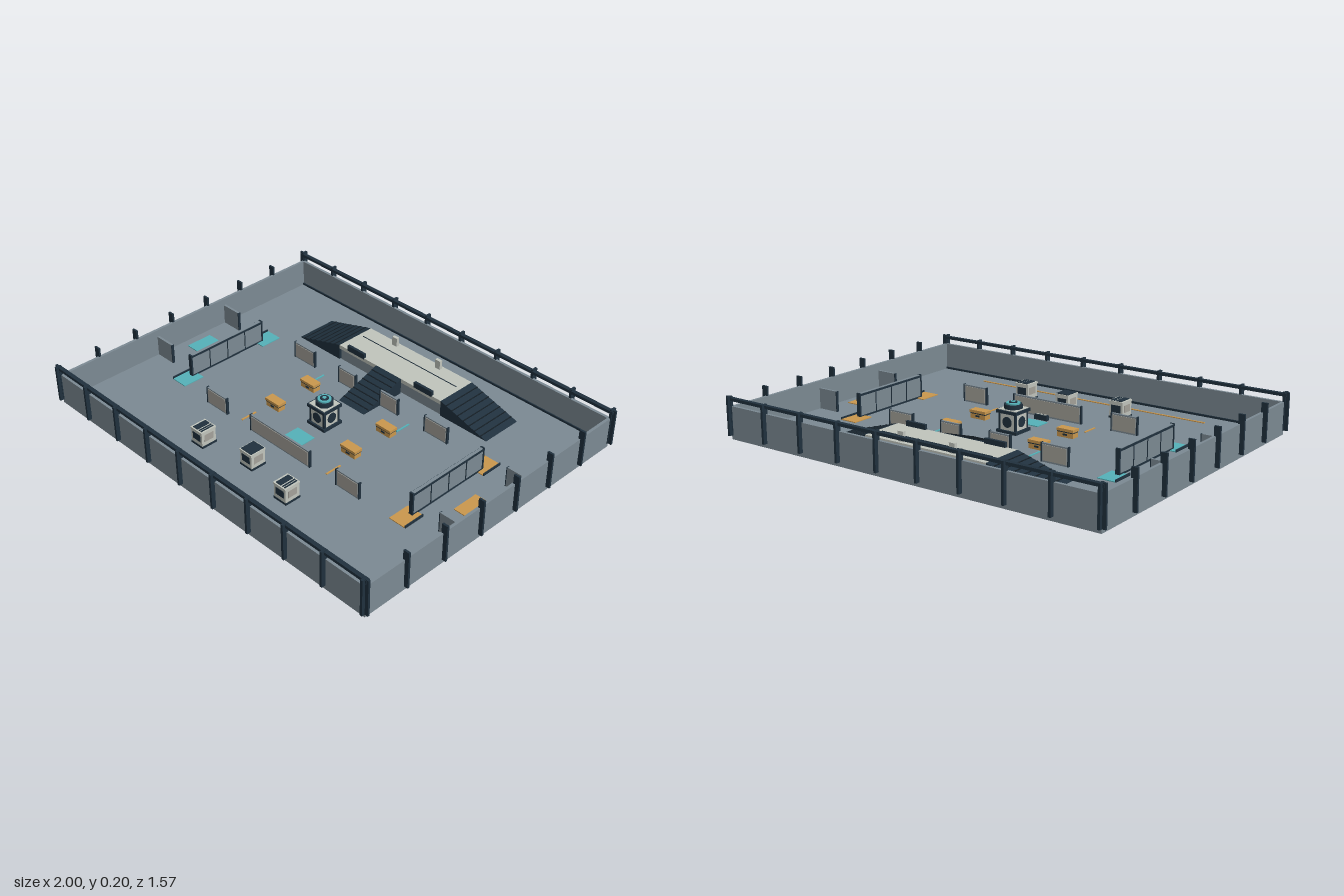
import * as THREE from 'three';

const mat = (name, color) => Object.assign(new THREE.MeshStandardMaterial({ color }), { name });

export function createModel() {
  const root = new THREE.Group();
  root.name = 'arena';
  const M = {
    slate: mat('slate', 0x7d8b94),
    dark: mat('darkNavy', 0x20313e),
    black: mat('nearBlack', 0x141d24),
    light: mat('paleConcrete', 0xc2c6be),
    beige: mat('warmGrey', 0xa5a39b),
    orange: mat('orange', 0xcc994e),
    teal: mat('teal', 0x55b3ba),
  };
  const FLOOR = 0.02, DECK = 0.1;

  // box resting on height y
  const box = (name, m, w, h, d, x, y, z, parent = root) => {
    const mesh = new THREE.Mesh(new THREE.BoxGeometry(w, h, d), M[m]);
    mesh.name = name;
    mesh.position.set(x, y + h / 2, z);
    parent.add(mesh);
    return mesh;
  };
  const pad = (name, m, w, d, x, z) => box(name, m, w, 0.004, d, x, FLOOR, z);
  const group = (name, x, z) => {
    const g = new THREE.Group();
    g.name = name;
    g.position.set(x, 0, z);
    root.add(g);
    return g;
  };

  // floor and perimeter walls
  box('floor', 'slate', 1.96, FLOOR, 1.53, 0, 0, 0);
  for (const s of [-1, 1]) {
    box('longWall', 'slate', 1.95, 0.135, 0.014, 0, FLOOR, s * 0.758);
    box('sideWall', 'slate', 0.014, 0.135, 1.53, s * 0.973, FLOOR, 0);
    box('topRail', 'dark', 1.98, 0.014, 0.02, 0, 0.181, s * 0.762);
    box('wallSkirting', 'dark', 1.94, 0.01, 0.006, 0, FLOOR, s * 0.748);
    for (let i = 0; i < 10; i++)
      box('longWallPost', 'dark', 0.012, 0.18, 0.03, -0.978 + i * 0.2173, FLOOR, s * 0.77);
    for (let i = 0; i < 8; i++)
      box('sideWallPost', 'dark', 0.03, 0.18, 0.01, s * 0.985, FLOOR, -0.765 + i * 0.2186);
  }

  // raised deck
  box('deckBody', 'slate', 0.64, DECK - FLOOR - 0.02, 0.2, 0, FLOOR, -0.4925);
  box('deck', 'light', 0.65, 0.02, 0.215, 0, DECK - 0.02, -0.4925);
  box('deckSeam', 'dark', 0.6, 0.002, 0.004, 0, DECK, -0.52);
  for (const s of [-1, 1]) {
    box('deckPost', 'light', 0.03, 0.045, 0.016, s * 0.138, DECK, -0.577);
    box('deckBarrier', 'dark', 0.11, 0.028, 0.014, s * 0.215, DECK - 0.005, -0.39);
  }

  // wedge ramps, high at local x = 0 and low at x = length
  const ramp = (name, length, width, x, z, turn) => {
    const h = DECK - FLOOR;
    const g = group(name, x, z);
    g.rotation.y = turn;
    const tri = new THREE.Shape([[0, 0], [length, 0], [0, h]].map(p => new THREE.Vector2(...p)));
    const wedge = new THREE.Mesh(
      new THREE.ExtrudeGeometry(tri, { depth: width, bevelEnabled: false }), M.dark);
    wedge.name = name + 'Wedge';
    wedge.position.set(0, FLOOR, -width / 2);
    g.add(wedge);
    for (let i = 1; i < 8; i++) {
      const t = i / 8;
      const tread = box(name + 'Tread', 'black', 0.005, 0.002, width, t * length, FLOOR + h * (1 - t), 0, g);
      tread.rotation.z = -Math.atan2(h, length);
    }
  };
  ramp('rightDeckRamp', 0.275, 0.215, 0.325, -0.4925, 0);
  ramp('leftDeckRamp', 0.275, 0.215, -0.325, -0.4925, Math.PI);
  ramp('frontDeckRamp', 0.245, 0.16, 0, -0.385, -Math.PI / 2);

  // freestanding cover panels with framed faces
  const panel = (w, x, z) => {
    const g = group('coverPanel', x, z);
    box('panelCore', 'slate', w, 0.085, 0.01, 0, FLOOR, 0, g);
    for (const s of [-1, 1]) {
      box('panelFace', 'beige', w - 0.016, 0.07, 0.003, 0, FLOOR + 0.008, s * 0.006, g);
      box('panelEdge', 'dark', 0.005, 0.087, 0.014, s * w / 2, FLOOR, 0, g);
    }
  };
  for (const s of [-1, 1]) {
    panel(0.135, s * 0.422, -0.25);
    panel(0.135, s * 0.422, 0.3);
    panel(0.11, s * 0.135, -0.25);
  }
  panel(0.38, 0, 0.3);

  // team sides: long screens, bay dividers and floor pads
  for (const s of [-1, 1]) {
    const team = s < 0 ? 'teal' : 'orange';
    const g = group('longScreen', s * 0.71, 0);
    box('screenCore', 'slate', 0.014, 0.115, 0.44, 0, FLOOR, 0, g);
    for (const e of [-1, 1]) {
      box('screenTopTrim', 'dark', 0.003, 0.01, 0.44, e * 0.008, 0.123, 0, g);
      box('screenBaseTrim', 'dark', 0.003, 0.008, 0.44, e * 0.008, FLOOR, 0, g);
      box('screenEnd', 'dark', 0.02, 0.117, 0.008, 0, FLOOR, e * 0.22, g);
      for (const z of [-0.11, 0, 0.11])
        box('screenSeam', 'dark', 0.003, 0.11, 0.004, e * 0.008, FLOOR, z, g);
      box('bayDivider', 'slate', 0.115, 0.1, 0.012, s * 0.917, FLOOR, e * 0.21);
      box('bayDividerEdge', 'dark', 0.004, 0.1, 0.014, s * 0.859, FLOOR, e * 0.21);
      pad('cornerPad', team, 0.085, 0.112, s * 0.705, e * 0.245);
      box('cornerPadEdge', 'dark', 0.005, 0.012, 0.11, s * 0.75, FLOOR, e * 0.245);
    }
    pad('spawnPad', team, 0.113, 0.138, s * 0.867, 0);
    pad('backGuideStrip', 'teal', 0.008, 0.08, s * 0.275, -0.192);
    pad('frontGuideStrip', 'orange', 0.008, 0.085, s * 0.275, 0.242);
  }
  pad('centrePad', 'teal', 0.108, 0.082, 0, 0.185);
  pad('startLine', 'orange', 1.28, 0.01, 0, 0.65);

  // small console in front of the centre pad
  box('consoleBase', 'dark', 0.07, 0.025, 0.018, 0, FLOOR, 0.253);
  for (const x of [-0.02, 0, 0.02])
    box('consoleKey', 'light', 0.012, 0.003, 0.009, x, 0.045, 0.253);

  // orange supply boxes
  for (const x of [-0.245, 0.245]) for (const z of [-0.115, 0.105]) {
    const g = group('supplyBox', x, z);
    box('boxBody', 'orange', 0.084, 0.026, 0.04, 0, FLOOR, 0, g);
    box('boxBand', 'dark', 0.086, 0.005, 0.042, 0, 0.043, 0, g);
    box('boxLid', 'orange', 0.09, 0.013, 0.046, 0, 0.048, 0, g);
    for (const s of [-1, 1]) box('boxLatch', 'dark', 0.022, 0.008, 0.003, 0, 0.03, s * 0.021, g);
  }

  // equipment crates
  for (const [x, z] of [[0, 0.46], [-0.27, 0.51], [0.27, 0.51]]) {
    const g = group('equipmentCrate', x, z);
    const s = Math.sign(x);
    box('crateBase', 'dark', 0.078, 0.01, 0.082, 0, FLOOR, 0, g);
    box('crateBody', 'light', 0.072, 0.07, 0.078, 0, 0.03, 0, g);
    box('crateTop', 'light', 0.076, 0.008, 0.084, 0, 0.096, 0, g);
    if (!s) box('crateTopPanel', 'dark', 0.066, 0.003, 0.074, 0, 0.104, 0, g);
    else {
      box('crateTopPanel', 'dark', 0.03, 0.003, 0.07, -0.012, 0.104, 0, g);
      for (const o of [0.014, 0.026])
        box('crateTopStripe', 'dark', 0.006, 0.003, 0.07, o, 0.104, 0, g);
    }
    for (const e of [-1, 1]) {
      box('crateScreen', 'dark', 0.05, 0.035, 0.003, 0, 0.05, e * 0.039, g);
      box('crateVent', 'beige', 0.003, 0.035, 0.05, e * 0.036, 0.05, 0, g);
    }
  }

  // central pedestal with beacon
  const p = group('pedestal', 0, 0.03);
  box('pedestalBase', 'dark', 0.112, 0.014, 0.112, 0, FLOOR, 0, p);
  box('pedestalBody', 'light', 0.092, 0.078, 0.092, 0, 0.034, 0, p);
  box('pedestalCap', 'dark', 0.112, 0.014, 0.112, 0, 0.112, 0, p);
  box('pedestalTopPlate', 'light', 0.098, 0.003, 0.098, 0, 0.126, 0, p);
  const disc = (name, m, r, h, n, y) => {
    const mesh = new THREE.Mesh(new THREE.CylinderGeometry(r, r, h, n), M[m]);
    mesh.name = name;
    mesh.position.y = y + h / 2;
    p.add(mesh);
    return mesh;
  };
  disc('beaconCollar', 'dark', 0.044, 0.02, 8, 0.129).rotation.y = Math.PI / 8;
  disc('beaconGlow', 'teal', 0.032, 0.007, 24, 0.149);
  disc('beaconHub', 'dark', 0.02, 0.003, 24, 0.156);
  disc('beaconCore', 'teal', 0.01, 0.002, 16, 0.159);
  for (let i = 0; i < 4; i++) {
    const a = i * Math.PI / 2;
    const face = new THREE.Group();
    face.name = 'pedestalFace';
    face.rotation.y = a;
    p.add(face);
    const port = new THREE.Mesh(new THREE.CylinderGeometry(0.025, 0.025, 0.004, 20), M.dark);
    port.name = 'pedestalPort';
    port.rotation.x = Math.PI / 2;
    port.position.set(0, 0.072, 0.047);
    face.add(port);
    const dx = 0.049, corner = box('pedestalCornerTrim', 'dark', 0.01, 0.078, 0.01, dx - 0.006, 0.034, dx - 0.006, face);
    corner.position.z = dx - 0.006;
  }
  return root;
}
